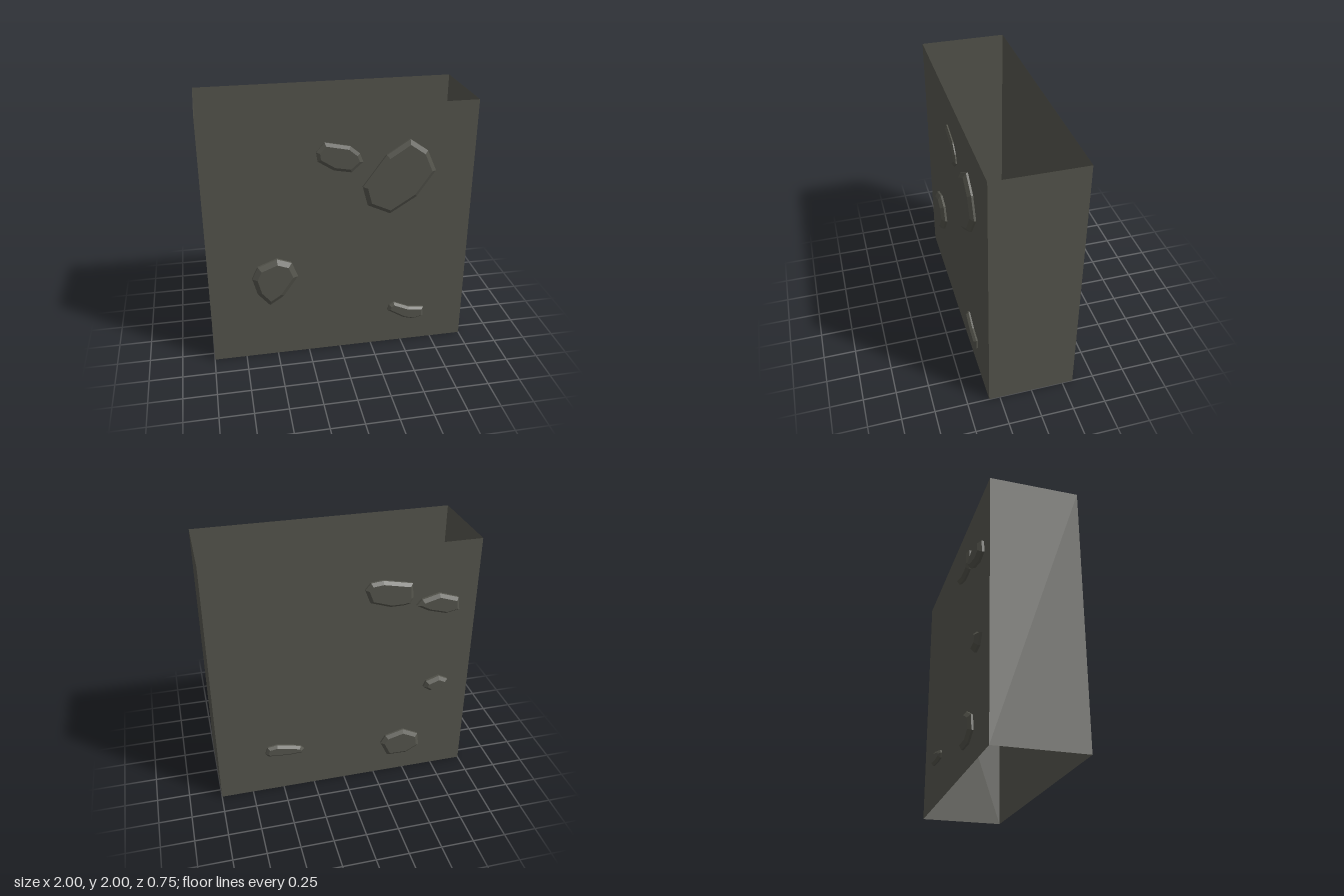
import * as THREE from 'three';

const DEPTH = 0.333; // half depth of the wall block

// Chamfered stone lying on the z = 0 plane: straight rim, sloped bevel, flat face
function stoneGeometry(points, height, inset) {
  const outline = points.map(([x, y]) => new THREE.Vector2(x, y));
  if (THREE.ShapeUtils.isClockWise(outline)) outline.reverse();
  const n = outline.length;
  const inwardNormal = (a, b) => new THREE.Vector2(a.y - b.y, b.x - a.x).normalize();
  const inner = outline.map((p, i) => {
    const n1 = inwardNormal(outline[(i + n - 1) % n], p);
    const n2 = inwardNormal(p, outline[(i + 1) % n]);
    const k = inset / Math.max(0.5, 1 + n1.dot(n2));
    return p.clone().add(n1.add(n2).multiplyScalar(k));
  });
  const rings = [[outline, 0], [outline, height * 0.4], [inner, height]]
    .map(([ring, z]) => ring.map((p) => [p.x, p.y, z]));
  const pos = [];
  for (let r = 0; r < 2; r++) {
    for (let i = 0; i < n; i++) {
      const j = (i + 1) % n;
      const a = rings[r][i], b = rings[r][j], c = rings[r + 1][j], d = rings[r + 1][i];
      pos.push(...a, ...b, ...c, ...a, ...c, ...d);
    }
  }
  for (const tri of THREE.ShapeUtils.triangulateShape(inner, [])) {
    for (const i of tri) pos.push(...rings[2][i]);
  }
  const geometry = new THREE.BufferGeometry();
  geometry.setAttribute('position', new THREE.Float32BufferAttribute(pos, 3));
  geometry.computeVertexNormals();
  return geometry;
}

// Outlines in model x, y
const frontStones = [
  { name: 'largeFrontStone', height: 0.037, inset: 0.03, points: [[0.5, 1.74], [0.635, 1.645], [0.705, 1.485],
    [0.57, 1.29], [0.37, 1.165], [0.2, 1.245], [0.16, 1.395], [0.33, 1.63]] },
  { name: 'upperFrontStone', height: 0.022, inset: 0.024, points: [[-0.12, 1.755], [0.065, 1.715], [0.135, 1.655],
    [0.16, 1.59], [0.075, 1.515], [-0.055, 1.54], [-0.17, 1.615], [-0.18, 1.685]] },
  { name: 'middleFrontStone', height: 0.043, inset: 0.035, points: [[-0.485, 0.862], [-0.375, 0.82], [-0.33, 0.7],
    [-0.44, 0.54], [-0.55, 0.467], [-0.64, 0.575], [-0.675, 0.71], [-0.63, 0.805]] },
  { name: 'lowerFrontStone', height: 0.032, inset: 0.018, points: [[0.43, 0.372], [0.555, 0.315], [0.675, 0.3],
    [0.675, 0.22], [0.6, 0.197], [0.515, 0.22], [0.38, 0.305], [0.395, 0.35]] },
];
const backStones = [
  { name: 'upperBackStone', height: 0.038, inset: 0.022, points: [[-0.14, 1.7], [-0.18, 1.75], [-0.27, 1.76],
    [-0.49, 1.715], [-0.5, 1.6], [-0.48, 1.555], [-0.43, 1.545], [-0.33, 1.545], [-0.18, 1.595]] },
  { name: 'outerBackStone', height: 0.046, inset: 0.022, points: [[-0.53, 1.53], [-0.57, 1.575], [-0.7, 1.61],
    [-0.85, 1.56], [-0.865, 1.46], [-0.76, 1.44], [-0.62, 1.48]] },
  { name: 'sideBackStone', height: 0.03, inset: 0.02, points: [[0.635, 0.37], [0.615, 0.43], [0.54, 0.443],
    [0.355, 0.4], [0.33, 0.37], [0.345, 0.335], [0.45, 0.33], [0.61, 0.345]] },
  { name: 'smallBackStone', height: 0.046, inset: 0.022, points: [[-0.63, 0.8], [-0.65, 0.85], [-0.75, 0.885],
    [-0.825, 0.845], [-0.78, 0.77], [-0.685, 0.76]] },
  { name: 'lowerBackStone', height: 0.036, inset: 0.026, points: [[-0.3, 0.3], [-0.34, 0.365], [-0.485, 0.405],
    [-0.61, 0.34], [-0.627, 0.225], [-0.52, 0.165], [-0.36, 0.17]] },
];

export function createModel() {
  const group = new THREE.Group();
  const stone = new THREE.MeshStandardMaterial({ color: 0x54544c, side: THREE.DoubleSide });
  stone.name = 'dark stone';

  // Four thin walls, open at the top and bottom
  const walls = [
    ['frontWall', 2, 0, DEPTH, 0],
    ['backWall', 2, 0, -DEPTH, Math.PI],
    ['leftWall', DEPTH * 2, 1, 0, Math.PI / 2],
    ['rightWall', DEPTH * 2, -1, 0, -Math.PI / 2],
  ];
  for (const [name, width, x, z, turn] of walls) {
    const wall = new THREE.Mesh(new THREE.PlaneGeometry(width, 2), stone);
    wall.name = name;
    wall.position.set(x, 1, z);
    wall.rotation.y = turn;
    group.add(wall);
  }

  // Raised stones; the back ones are mirrored, then turned to face -z
  for (const [list, side] of [[frontStones, 1], [backStones, -1]]) {
    for (const { name, height, inset, points } of list) {
      const mesh = new THREE.Mesh(stoneGeometry(points.map(([x, y]) => [x * side, y]), height, inset), stone);
      mesh.name = name;
      mesh.position.z = DEPTH * side;
      if (side < 0) mesh.rotation.y = Math.PI;
      group.add(mesh);
    }
  }
  return group;
}
